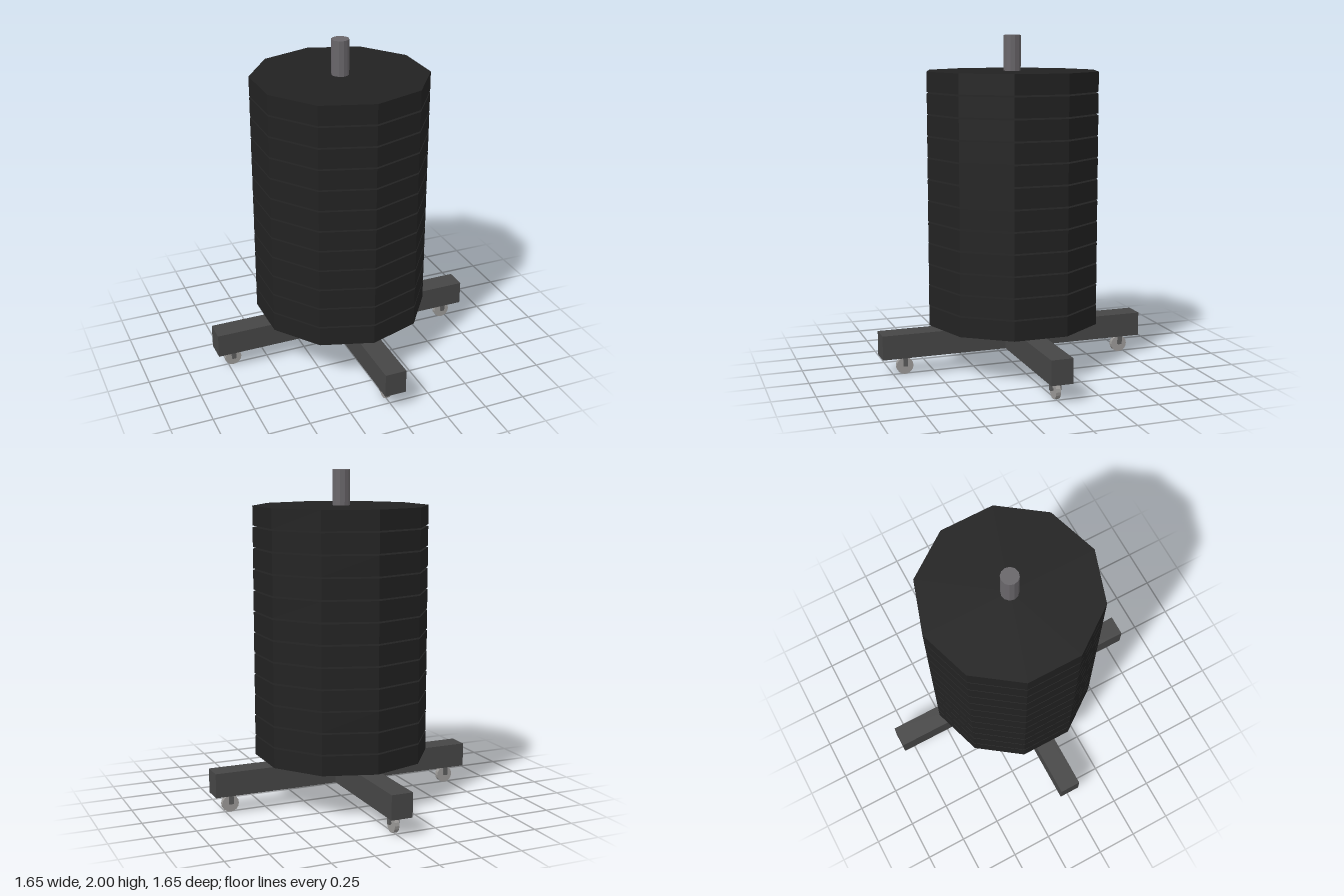
import * as THREE from 'three';

export function createModel() {
  const group = new THREE.Group();
  const mat = (name, color) => {
    const m = new THREE.MeshStandardMaterial({ color, flatShading: true });
    m.name = name;
    return m;
  };
  const plateBlack = mat('plateBlack', 0x222222);
  const frameGrey = mat('frameGrey', 0x464646);
  const poleGrey = mat('poleGrey', 0x69666a);
  const wheelGrey = mat('wheelGrey', 0x9c9a98);
  const forkGrey = mat('forkGrey', 0x5c5c5c);

  const add = (parent, name, geometry, material, x = 0, y = 0, z = 0) => {
    const mesh = new THREE.Mesh(geometry, material);
    mesh.name = name;
    mesh.position.set(x, y, z);
    parent.add(mesh);
    return mesh;
  };

  // Cross-shaped base: one full beam and two half beams butting against it
  const beamW = 0.13, beamH = 0.145, beamY = 0.187, reach = 0.825;
  add(group, 'baseBeam', new THREE.BoxGeometry(reach * 2, beamH, beamW), frameGrey, 0, beamY, 0);
  const half = reach - beamW / 2;
  for (const s of [1, -1]) {
    add(group, s > 0 ? 'frontBeam' : 'backBeam', new THREE.BoxGeometry(beamW, beamH, half),
      frameGrey, 0, beamY, s * (beamW + half) / 2);
  }

  // Central pole
  const poleBottom = 0.25, poleTop = 2;
  add(group, 'pole', new THREE.CylinderGeometry(0.052, 0.052, poleTop - poleBottom, 12),
    poleGrey, 0, (poleTop + poleBottom) / 2, 0);

  // Stack of ten-sided plates with narrow gaps
  const plateH = 0.116, pitch = 0.1264;
  const plateGeo = new THREE.CylinderGeometry(0.524, 0.524, plateH, 10);
  for (let i = 0; i < 12; i++) {
    add(group, 'plate', plateGeo, plateBlack, 0, 0.284 + plateH / 2 + i * pitch, 0);
  }

  // Casters, each rolling along its own arm
  const wheelGeo = new THREE.CylinderGeometry(0.051, 0.051, 0.028, 16).rotateX(Math.PI / 2);
  const axleGeo = new THREE.CylinderGeometry(0.008, 0.008, 0.06, 8).rotateX(Math.PI / 2);
  const prongGeo = new THREE.BoxGeometry(0.026, 0.062, 0.012);
  const bridgeGeo = new THREE.BoxGeometry(0.026, 0.008, 0.066);
  const addCaster = (name, x, z, turn) => {
    const caster = new THREE.Group();
    caster.name = name;
    caster.position.set(x, 0, z);
    caster.rotation.y = turn;
    add(caster, 'wheel', wheelGeo, wheelGrey, 0, 0.054, 0);
    add(caster, 'axle', axleGeo, forkGrey, 0, 0.06, 0);
    add(caster, 'forkBridge', bridgeGeo, forkGrey, 0, 0.112, 0);
    for (const s of [1, -1]) add(caster, 'forkProng', prongGeo, forkGrey, 0, 0.085, s * 0.027);
    group.add(caster);
  };
  addCaster('leftCaster', 0.72, 0, 0);
  addCaster('rightCaster', -0.72, 0, 0);
  addCaster('frontCaster', 0, 0.68, Math.PI / 2);
  addCaster('backCaster', 0, -0.715, Math.PI / 2);

  return group;
}
